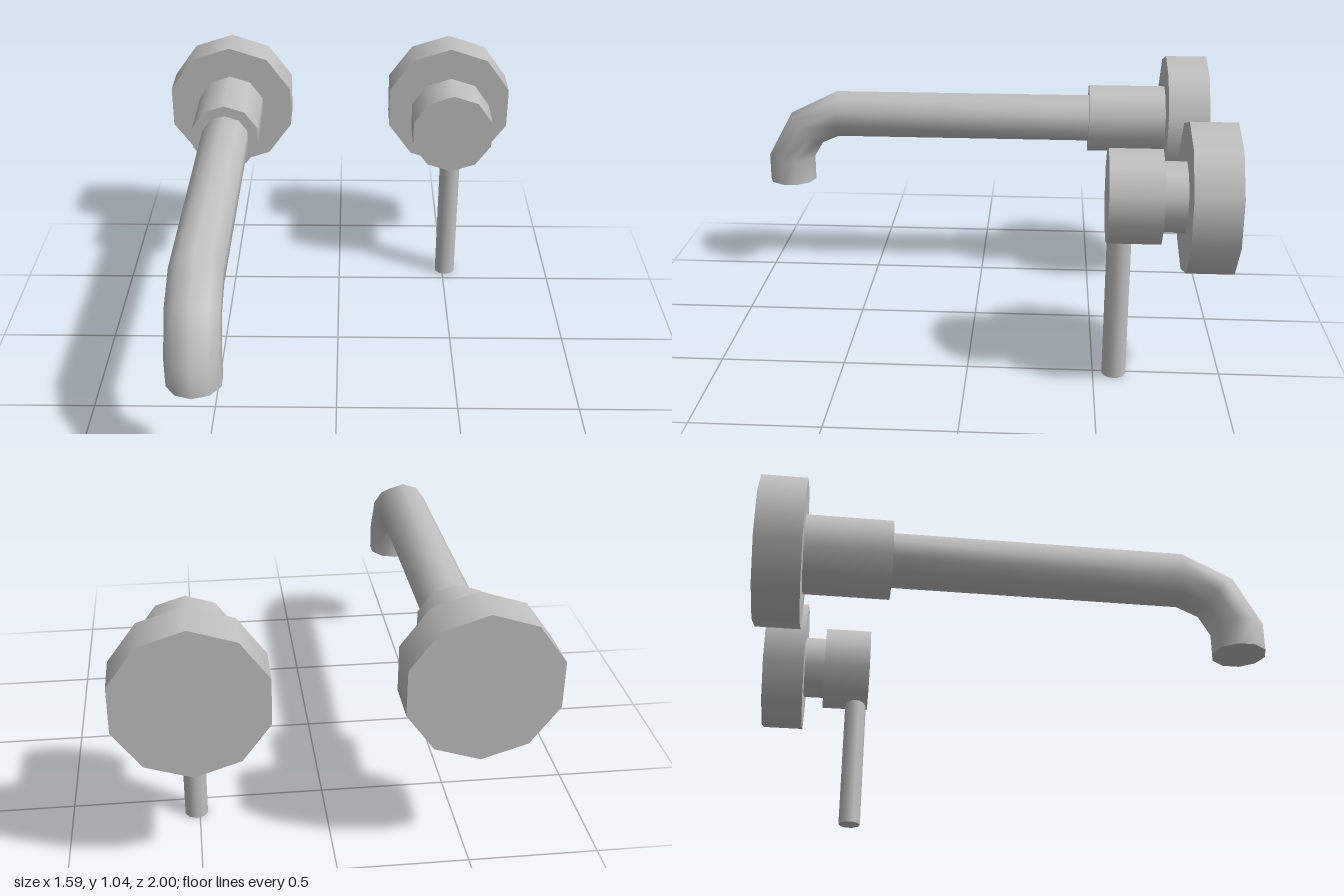
import * as THREE from 'three';

const SIDES = 10;
const AXIS_Y = 0.751;
const OFFSET_X = 0.515;

// Ten-sided cylinder lying along z between two depths
function zCylinder(name, radius, z0, z1, material) {
  const geometry = new THREE.CylinderGeometry(radius, radius, z1 - z0, SIDES);
  geometry.rotateX(Math.PI / 2);
  const mesh = new THREE.Mesh(geometry, material);
  mesh.name = name;
  mesh.position.set(0, AXIS_Y, (z0 + z1) / 2);
  return mesh;
}

// Lofts rings of [y, z, tilt, in-plane radius] into a smooth bent pipe
function bentPipe(rings, radius) {
  const positions = [];
  const indices = [];
  rings.forEach(([y, z, tilt, inPlane], i) => {
    for (let j = 0; j < SIDES; j++) {
      const a = (j / SIDES) * Math.PI * 2;
      const n = Math.cos(a) * inPlane;
      positions.push(Math.sin(a) * radius, y + n * Math.cos(tilt), z + n * Math.sin(tilt));
      if (i === rings.length - 1) continue;
      const k = (j + 1) % SIDES;
      const p = i * SIDES, q = p + SIDES;
      indices.push(p + j, q + j, p + k, p + k, q + j, q + k);
    }
  });
  const geometry = new THREE.BufferGeometry();
  geometry.setAttribute('position', new THREE.Float32BufferAttribute(positions, 3));
  geometry.setIndex(indices);
  geometry.computeVertexNormals();
  return geometry;
}

export function createModel() {
  const model = new THREE.Group();
  model.name = 'wallTap';
  const metal = new THREE.MeshStandardMaterial({ color: 0xc0c0c0 });
  metal.name = 'brushedMetal';

  // Spout: wall flange, collar and pipe bending down at the front
  const spout = new THREE.Group();
  spout.name = 'spout';
  spout.position.x = -OFFSET_X;
  spout.add(
    zCylinder('spoutFlange', 0.294, -1, -0.822, metal),
    zCylinder('spoutCollar', 0.155, -0.822, -0.485, metal)
  );
  const r = 0.1075;
  const pipe = new THREE.Mesh(bentPipe([
    [AXIS_Y, -0.6, 0, r],
    [AXIS_Y, 0.67, 0, r],
    [0.682, 0.815, Math.PI / 4, 0.0995],
    [0.545, 0.892, Math.PI / 2, r],
    [0.432, 0.892, Math.PI / 2, r]
  ], r), metal);
  pipe.name = 'spoutPipe';
  const outlet = new THREE.Mesh(
    new THREE.CircleGeometry(r, SIDES, Math.PI / 2).rotateX(Math.PI / 2), metal);
  outlet.name = 'spoutOutlet';
  outlet.position.set(0, 0.432, 0.892);
  spout.add(pipe, outlet);

  // Mixer: wall flange, neck, knob and hanging lever
  const mixer = new THREE.Group();
  mixer.name = 'mixer';
  mixer.position.x = OFFSET_X;
  mixer.add(
    zCylinder('mixerFlange', 0.294, -1, -0.822, metal),
    zCylinder('mixerNeck', 0.14, -0.822, -0.733, metal),
    zCylinder('mixerKnob', 0.187, -0.733, -0.53, metal)
  );
  const lever = new THREE.Mesh(new THREE.CylinderGeometry(0.047, 0.047, 0.62, SIDES), metal);
  lever.name = 'mixerLever';
  lever.position.set(-0.002, 0.31, -0.583);
  mixer.add(lever);

  model.add(spout, mixer);
  return model;
}
